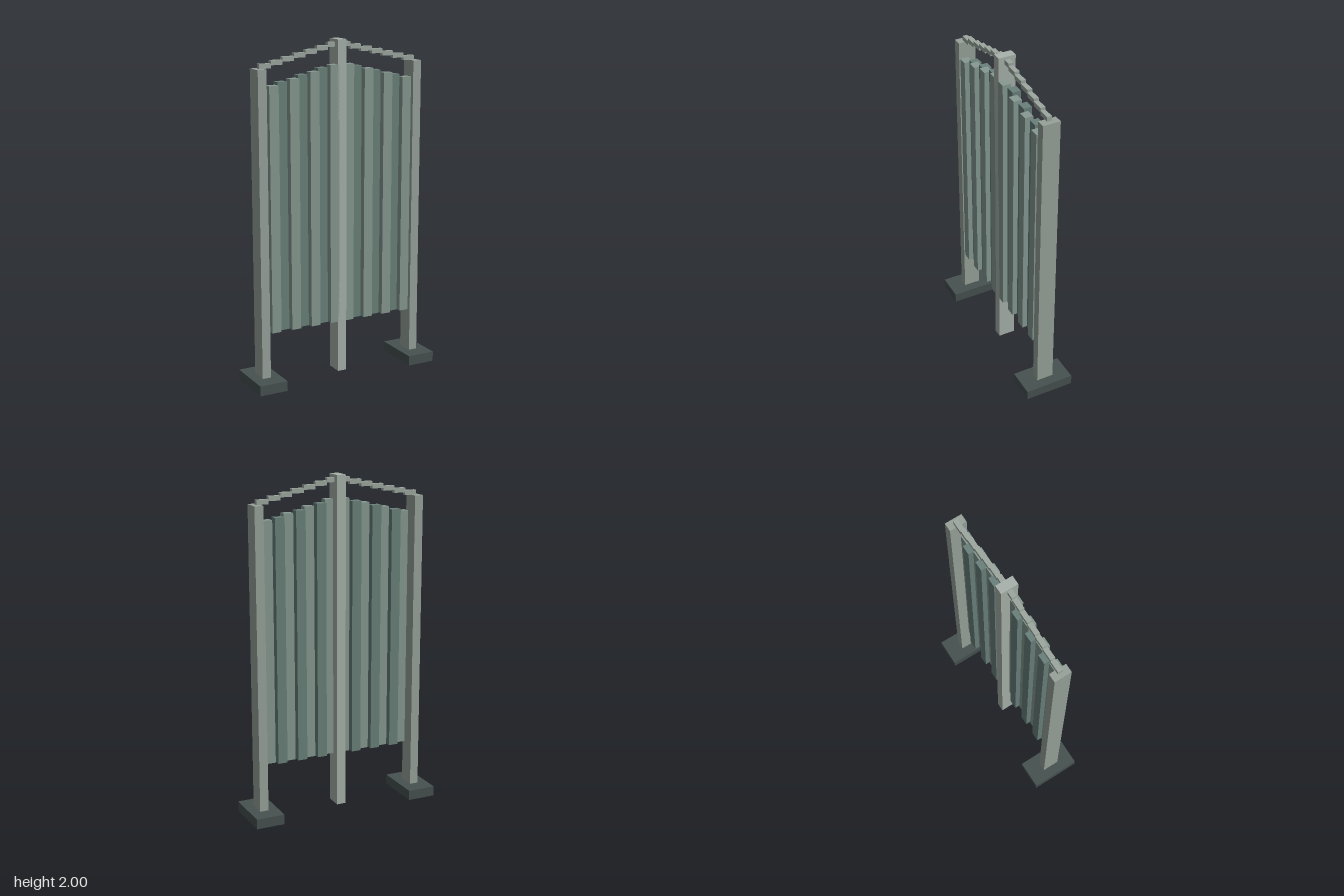
import * as THREE from 'three';

const material = (color) => new THREE.MeshStandardMaterial({ color, flatShading: true });

export function createModel() {
  const model = new THREE.Group();
  const mats = {
    post: material(0x98a39b),
    centre: material(0xa8b2ab),
    rail: material(0x9da8a0),
    slatFront: material(0x869a92),
    slatBack: material(0x6a817a),
    foot: material(0x465150),
  };

  // Box centred on x and z, spanning y0 to y1
  function addBox(name, mat, x, z, width, depth, y0, y1) {
    const mesh = new THREE.Mesh(new THREE.BoxGeometry(width, y1 - y0, depth), mat);
    mesh.name = name;
    mesh.position.set(x, (y0 + y1) / 2, z);
    model.add(mesh);
  }

  addBox('centrePost', mats.centre, 0, 0, 0.055, 0.104, 0.015, 2);

  for (const [side, s] of [['left', 1], ['right', -1]]) {
    // Outer post on its flat foot
    addBox(`${side}Foot`, mats.foot, s * 0.501, 0, 0.173, 0.3, 0, 0.06);
    addBox(`${side}Post`, mats.post, s * 0.501, 0, 0.053, 0.104, 0.06, 1.855);

    for (let i = 0; i < 7; i++) {
      // Slats alternate between a front and a back row, rising to the centre
      const front = i % 2 === 0;
      addBox(`${side}Slat${i + 1}`, front ? mats.slatFront : mats.slatBack,
        s * (0.048 + i * 0.0638), front ? 0.027 : 0, 0.058, 0.05,
        0.328, 1.859 - i * 0.016);

      // Stepped top rail
      const top = 1.983 - i * 0.0167;
      addBox(`${side}RailStep${i + 1}`, mats.rail,
        s * (i + 0.5) * 0.0716, 0, 0.0716, 0.029, top - 0.027, top);
    }
  }
  return model;
}
